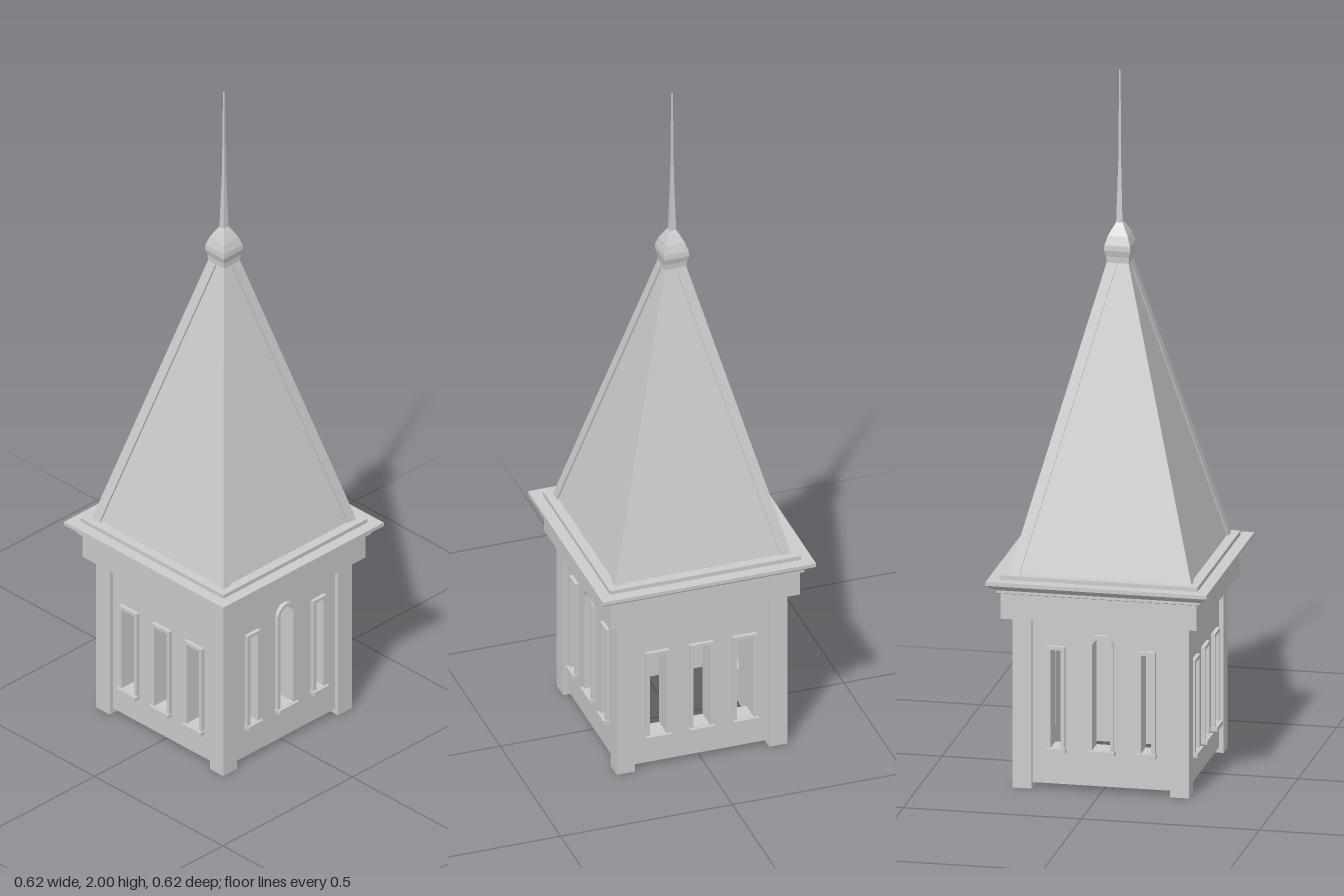
import * as THREE from 'three';

const material = new THREE.MeshStandardMaterial({ color: 0xcccccc, flatShading: true });

function add(parent, name, geometry) {
  const mesh = new THREE.Mesh(geometry, material);
  mesh.name = name;
  parent.add(mesh);
  return mesh;
}

function box(parent, name, w, h, d, x, y, z) {
  add(parent, name, new THREE.BoxGeometry(w, h, d)).position.set(x, y, z);
}

// Square-plan moulding: profile of [half width, height] turned in four sides
function squareLathe(profile) {
  const points = profile.map(([r, y]) => new THREE.Vector2(r * Math.SQRT2, y));
  return new THREE.LatheGeometry(points, 4, Math.PI / 4);
}

// Outline of a window: rectangle, or round-headed when arched
function outline(Type, { x, y0, y1, arched }, hw, grow) {
  const s = new Type();
  const bottom = y0 - grow, top = y1 + grow;
  s.moveTo(x - hw, bottom);
  s.lineTo(x + hw, bottom);
  if (arched) {
    s.lineTo(x + hw, top - hw);
    s.absarc(x, top - hw, hw, 0, Math.PI, false);
  } else {
    s.lineTo(x + hw, top);
    s.lineTo(x - hw, top);
  }
  s.closePath();
  return s;
}

const extrude = (shape, depth) =>
  new THREE.ExtrudeGeometry(shape, { depth, bevelEnabled: false, curveSegments: 12 });

const FACE = 0.235; // outer wall plane
const THICK = 0.05;

// One pierced wall with window frames and sills, facing +z
function buildWall(name, windows) {
  const wall = new THREE.Group();
  wall.name = name;
  const panel = new THREE.Shape();
  panel.moveTo(-0.21, 0.015);
  panel.lineTo(0.21, 0.015);
  panel.lineTo(0.21, 0.495);
  panel.lineTo(-0.21, 0.495);
  panel.closePath();
  for (const w of windows) {
    panel.holes.push(outline(THREE.Path, w, w.hw, 0));
    const frame = outline(THREE.Shape, w, w.hw + w.trim, 0.01);
    frame.holes.push(outline(THREE.Path, w, w.hw, 0));
    add(wall, 'windowFrame', extrude(frame, 0.016)).position.z = FACE - 0.005;
    box(wall, 'windowSill', 2 * (w.hw + w.trim) + 0.006, 0.012, 0.024, w.x, w.y0 - 0.007, FACE + 0.007);
  }
  add(wall, 'wallPanel', extrude(panel, THICK)).position.z = FACE - THICK;
  return wall;
}

export function createModel() {
  const model = new THREE.Group();
  model.name = 'bellTower';

  // Walls: arched centre on front and back, three wide openings on the sides
  const frontWindows = [
    { x: -0.127, y0: 0.12, y1: 0.4, hw: 0.014, trim: 0.011 },
    { x: 0, y0: 0.12, y1: 0.44, hw: 0.025, trim: 0.01, arched: true },
    { x: 0.127, y0: 0.12, y1: 0.4, hw: 0.014, trim: 0.011 },
  ];
  const sideWindows = [-0.127, 0, 0.127].map((x) => ({ x, y0: 0.105, y1: 0.36, hw: 0.024, trim: 0.01 }));
  ['frontWall', 'leftWall', 'backWall', 'rightWall'].forEach((name, i) => {
    const wall = buildWall(name, i % 2 ? sideWindows : frontWindows);
    wall.rotation.y = (i * Math.PI) / 2;
    model.add(wall);
  });

  // Corner posts
  for (const sx of [-1, 1])
    for (const sz of [-1, 1])
      box(model, 'cornerPost', 0.053, 0.495, 0.053, sx * 0.2215, 0.2475, sz * 0.2215);

  // Frieze and stepped cornice
  add(model, 'cornice', squareLathe([
    [0, 0.49], [0.275, 0.49], [0.275, 0.562], [0.285, 0.566], [0.285, 0.574], [0.298, 0.582],
    [0.31, 0.592], [0.31, 0.603], [0.278, 0.603], [0.278, 0.615], [0, 0.615],
  ]));

  // Pyramid roof
  const base = 0.613, rise = 0.847, slope = 0.2686;
  add(model, 'roof', squareLathe([[0.251, base], [0.251 - slope * rise, base + rise]]));

  // Hip ribs: L-shaped section leaning inward along each hip
  const section = new THREE.Shape();
  [[0, 0], [-0.03, 0], [-0.03, -0.016], [-0.016, -0.016], [-0.016, -0.03], [0, -0.03]]
    .forEach(([x, y], i) => (i ? section.lineTo(x, y) : section.moveTo(x, y)));
  section.closePath();
  const rib = extrude(section, rise);
  rib.rotateX(-Math.PI / 2);
  const p = rib.attributes.position;
  for (let i = 0; i < p.count; i++) {
    const lean = 0.257 - slope * p.getY(i);
    p.setX(i, p.getX(i) + lean);
    p.setZ(i, p.getZ(i) - lean);
  }
  rib.computeVertexNormals();
  for (let i = 0; i < 4; i++) {
    const mesh = add(model, 'hipRib', rib);
    mesh.position.y = base;
    mesh.rotation.y = (i * Math.PI) / 2;
  }

  // Finial bulb and needle spire
  add(model, 'finial', squareLathe([
    [0, 1.455], [0.031, 1.455], [0.032, 1.472], [0.037, 1.49], [0.036, 1.505],
    [0.028, 1.53], [0.016, 1.553], [0.009, 1.565], [0, 1.567],
  ]));
  add(model, 'spire', squareLathe([[0.009, 1.56], [0.004, 1.74], [0.002, 2], [0, 2]]));

  return model;
}
